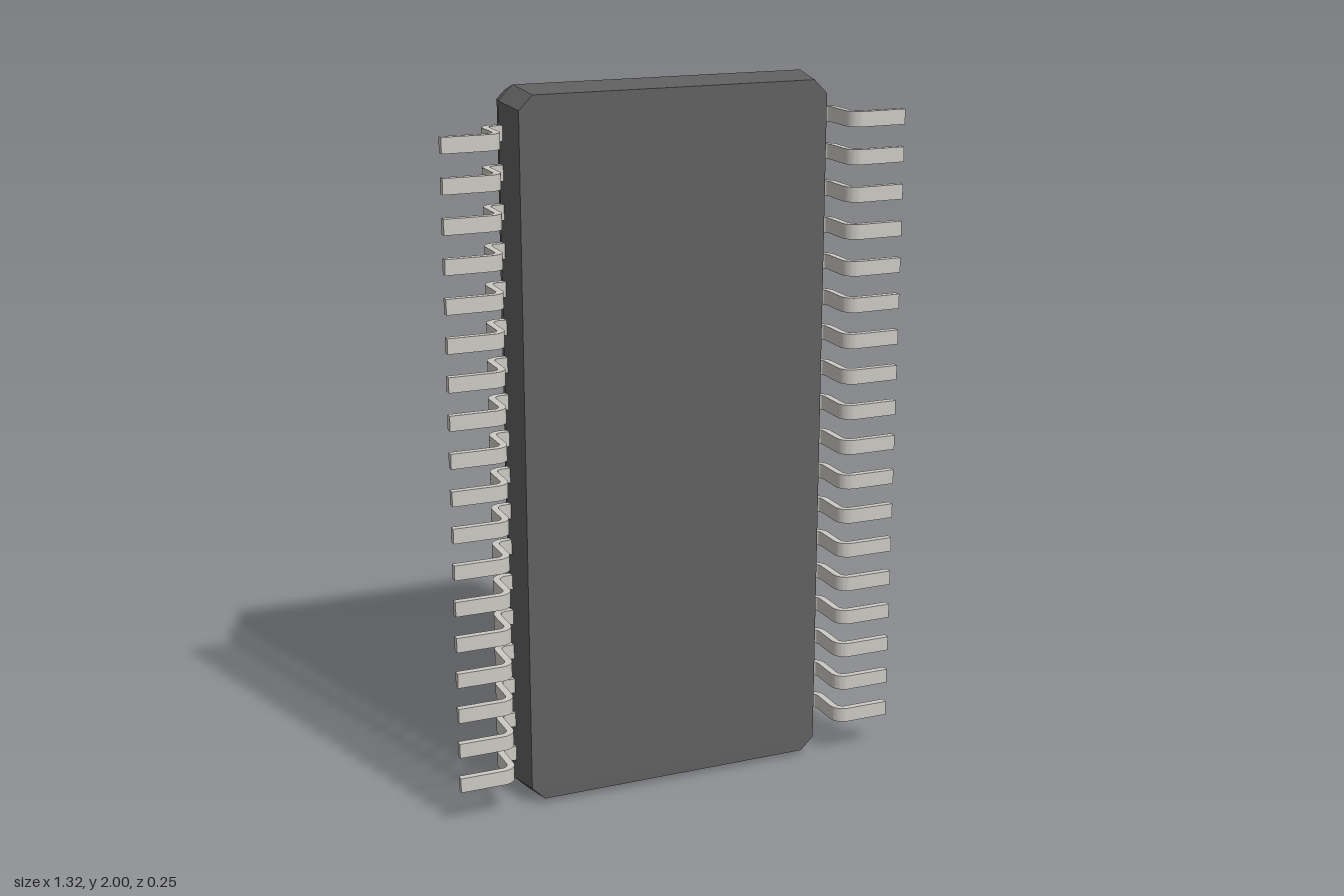
import * as THREE from 'three';
import { toCreasedNormals } from 'three/addons/utils/BufferGeometryUtils.js';

const BACK = -0.123, SEAM = -0.035, FRONT = 0.08;

// Rectangle with cut corners, counter-clockwise seen from +z
function ring(w, h, c, z) {
  return [
    [w, -h + c], [w, h - c], [w - c, h], [c - w, h],
    [-w, h - c], [-w, c - h], [c - w, -h], [w - c, -h],
  ].map(([x, y]) => [x, y + 1, z]);
}

// Loft between rings with flat end faces
function loft(rings) {
  const n = rings[0].length, pos = [];
  const tri = (...pts) => pts.forEach((p) => pos.push(...p));
  for (let k = 0; k < rings.length - 1; k++) {
    for (let i = 0; i < n; i++) {
      const j = (i + 1) % n, a = rings[k], b = rings[k + 1];
      tri(a[i], a[j], b[j]);
      tri(a[i], b[j], b[i]);
    }
  }
  const first = rings[0], last = rings[rings.length - 1];
  for (let i = 1; i < n - 1; i++) {
    tri(first[0], first[i + 1], first[i]);
    tri(last[0], last[i], last[i + 1]);
  }
  const g = new THREE.BufferGeometry();
  g.setAttribute('position', new THREE.Float32BufferAttribute(pos, 3));
  g.computeVertexNormals();
  return g;
}

// Bent strip: shoulder, drop and foot, drawn in x and z, extruded along y
function leadGeometry(width) {
  const s = new THREE.Shape();
  s.moveTo(0.42, SEAM);
  s.lineTo(0.474, SEAM);
  s.absarc(0.474, 0.005, 0.04, -Math.PI / 2, 0, false);
  s.absarc(0.534, 0.082, 0.02, Math.PI, Math.PI / 2, true);
  s.lineTo(0.66, 0.102);
  s.lineTo(0.66, 0.122);
  s.absarc(0.534, 0.122 - 0.04, 0.04, Math.PI / 2, Math.PI, false);
  s.absarc(0.474, 0.005, 0.02, 0, -Math.PI / 2, true);
  s.lineTo(0.42, -0.015);
  const g = new THREE.ExtrudeGeometry(s, { depth: width, bevelEnabled: false, curveSegments: 8 });
  g.translate(0, 0, -width / 2);
  g.rotateX(Math.PI / 2);
  return toCreasedNormals(g, 0.6);
}

export function createModel() {
  const model = new THREE.Group();
  model.name = 'chipPackage';
  const plastic = new THREE.MeshStandardMaterial({ color: 0x606060, flatShading: true });
  const metal = new THREE.MeshStandardMaterial({ color: 0xcccac4 });

  // Body, widest at the seam
  const body = new THREE.Mesh(loft([
    ring(0.43, 0.977, 0.024, BACK),
    ring(0.455, 1, 0.04, SEAM),
    ring(0.44, 0.986, 0.038, FRONT),
  ]), plastic);
  body.name = 'body';
  model.add(body);

  // Round marker on the back face
  const marker = new THREE.Mesh(new THREE.CylinderGeometry(0.043, 0.043, 0.01, 32), metal);
  marker.name = 'cornerMarker';
  marker.rotation.x = Math.PI / 2;
  marker.position.set(0.25, 1.78, BACK + 0.004);
  model.add(marker);

  // Two rows of leads
  const geometry = leadGeometry(0.042);
  for (const side of ['left', 'right']) {
    const row = new THREE.Group();
    row.name = side + 'Leads';
    for (let i = 0; i < 18; i++) {
      const lead = new THREE.Mesh(geometry, metal);
      lead.name = 'lead';
      lead.position.y = 1 + (i - 8.5) * 0.1033;
      if (side === 'right') lead.rotation.z = Math.PI;
      row.add(lead);
    }
    model.add(row);
  }
  return model;
}
